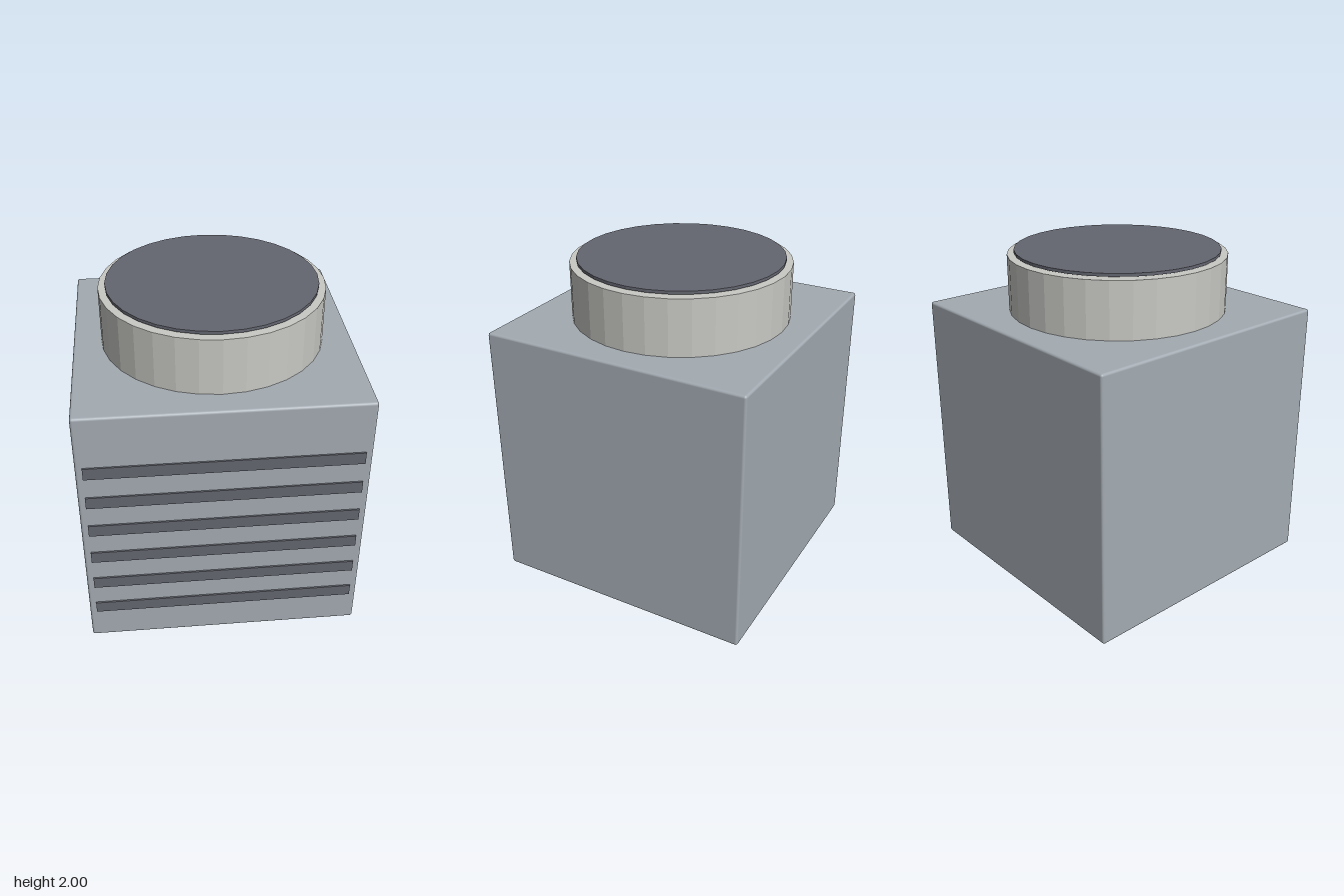
import * as THREE from 'three';
import { RoundedBoxGeometry } from 'three/addons/geometries/RoundedBoxGeometry.js';

const casing = new THREE.MeshStandardMaterial({ color: 0xa3abb2, name: 'greyBlueCasing' });
const dark = new THREE.MeshStandardMaterial({ color: 0x646670, name: 'darkGrey' });
const collarGrey = new THREE.MeshStandardMaterial({ color: 0xc8c8c4, name: 'lightWarmGrey' });

const SIDE = 1.636;   // cube edge
const Z = -0.005;     // cube centre, leaving room for the slats in front

export function createModel() {
  const group = new THREE.Group();
  const add = (name, geometry, material, x, y, z) => {
    const mesh = new THREE.Mesh(geometry, material);
    mesh.name = name;
    mesh.position.set(x, y, z);
    group.add(mesh);
  };
  // flat-sided upright cylinder between two heights
  const drum = (name, radius, y0, y1, material) => {
    const g = new THREE.CylinderGeometry(radius, radius, y1 - y0, 32).toNonIndexed();
    g.computeVertexNormals();
    add(name, g, material, 0, (y0 + y1) / 2, Z);
  };

  // casing with slightly softened edges
  add('casing', new RoundedBoxGeometry(SIDE, SIDE, SIDE, 2, 0.015), casing, 0, SIDE / 2, Z);

  // fan outlet on top: collar, hidden spindle and dark cover
  drum('fanCollar', 0.655, SIDE - 0.01, 1.973, collarGrey);
  drum('coverSpindle', 0.3, 1.97, 1.985, dark);
  drum('fanCover', 0.614, 1.982, 2.0, dark);

  // horizontal vent slats on the front
  const slat = new THREE.BoxGeometry(1.556, 0.075, 0.018);
  for (let i = 0; i < 6; i++) add('ventSlat' + (i + 1), slat, dark, 0, 0.249 + i * 0.2056, 0.814);

  return group;
}
